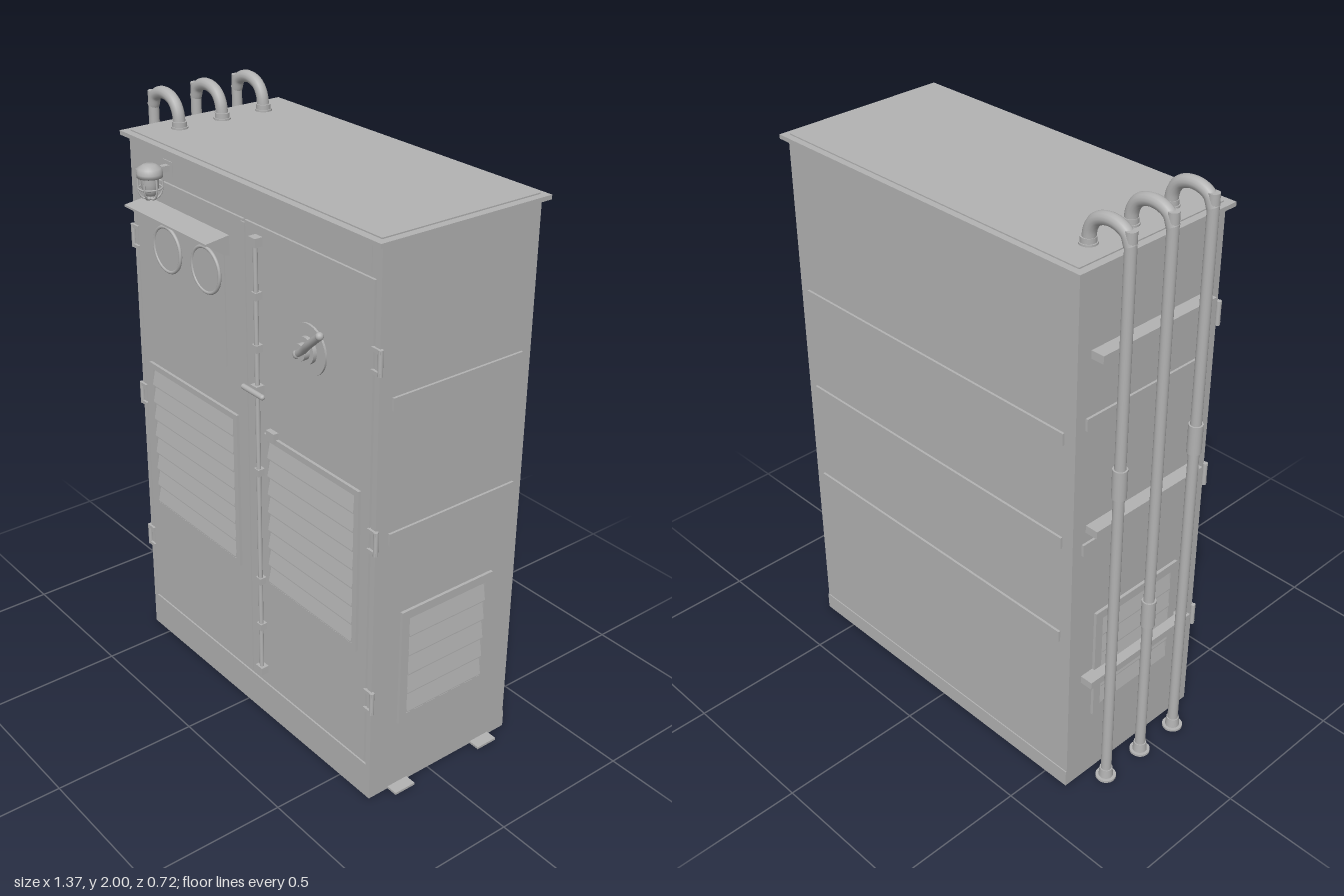
import * as THREE from 'three';

const steel = new THREE.MeshStandardMaterial({ color: 0xb2b2b2 });
steel.name = 'grey paint';

function add(parent, name, geo, x = 0, y = 0, z = 0) {
  const m = new THREE.Mesh(geo, steel);
  m.name = name;
  m.position.set(x, y, z);
  parent.add(m);
  return m;
}

// Box given by its limits on each axis
function box(parent, name, x0, x1, y0, y1, z0, z1) {
  return add(parent, name, new THREE.BoxGeometry(x1 - x0, y1 - y0, z1 - z0),
    (x0 + x1) / 2, (y0 + y1) / 2, (z0 + z1) / 2);
}

// Upright cylinder from y0 to y1
function rod(parent, name, r, x, y0, y1, z, rTop = r, sides = 20) {
  return add(parent, name, new THREE.CylinderGeometry(rTop, r, y1 - y0, sides), x, (y0 + y1) / 2, z);
}

function tube(parent, name, pts, r, segs = 24) {
  const curve = new THREE.CatmullRomCurve3(pts.map(p => new THREE.Vector3(...p)));
  return add(parent, name, new THREE.TubeGeometry(curve, segs, r, 14));
}

// Profile in (z, y) extruded along x and centred on it
function alongX(points, width) {
  const shape = new THREE.Shape(points.map(p => new THREE.Vector2(...p)));
  const geo = new THREE.ExtrudeGeometry(shape, { depth: width, bevelEnabled: false });
  return geo.rotateY(-Math.PI / 2).translate(width / 2, 0, 0);
}

// Framed louvre facing +z, centred on its own origin
function louvre(parent, name, w, h, border, count, x, y, z, turn = 0) {
  const g = new THREE.Group();
  g.name = name;
  const frame = new THREE.Shape([[-w / 2, -h / 2], [w / 2, -h / 2], [w / 2, h / 2], [-w / 2, h / 2]]
    .map(p => new THREE.Vector2(...p)));
  const a = w / 2 - border, b = h / 2 - border;
  frame.holes.push(new THREE.Path([[-a, -b], [-a, b], [a, b], [a, -b]].map(p => new THREE.Vector2(...p))));
  add(g, 'louvreFrame', new THREE.ExtrudeGeometry(frame, { depth: 0.01, bevelEnabled: false }));
  const pitch = 2 * b / count;
  const slat = alongX([[0, 0], [0.013, 0.004], [0.013, 0.008], [0.001, pitch], [0, pitch]], 2 * a);
  for (let i = 0; i < count; i++) add(g, 'slat', slat, 0, -b + i * pitch, 0);
  g.position.set(x, y, z);
  g.rotation.y = turn;
  parent.add(g);
}

export function createModel() {
  const model = new THREE.Group();
  model.name = 'electricalCabinet';
  const L = -0.592, R = 0.645, F = 0.242, B = -0.338;

  // Shell, roof and front frame
  box(model, 'body', L, R, 0, 1.87, B, F);
  box(model, 'roof', -0.61, 0.665, 1.868, 1.882, -0.357, 0.272);
  box(model, 'roofPanel', -0.585, 0.64, 1.88, 1.886, -0.335, 0.247);
  box(model, 'plinthFace', L, R, 0, 0.125, F, 0.248);
  box(model, 'headerFace', L, R, 1.77, 1.87, F, 0.248);
  box(model, 'leftStile', L, -0.572, 0.125, 1.77, F, 0.248);
  box(model, 'rightStile', 0.625, R, 0.125, 1.77, F, 0.248);
  box(model, 'headerPanel', -0.56, 0.605, 1.782, 1.862, 0.248, 0.251);
  box(model, 'backSill', L, R, 0, 0.06, B - 0.004, B);

  // Double doors
  box(model, 'door', -0.565, 0.022, 0.135, 1.762, F, 0.25);
  box(model, 'door', 0.03, 0.618, 0.135, 1.762, F, 0.25);
  box(model, 'doorOverlap', 0.016, 0.034, 0.14, 1.755, 0.25, 0.254);
  louvre(model, 'doorVent', 0.505, 0.56, 0.02, 8, -0.272, 0.82, 0.25);
  louvre(model, 'doorVent', 0.455, 0.56, 0.02, 8, 0.352, 0.82, 0.25);
  box(model, 'ventCatch', 0.146, 0.186, 1.09, 1.122, 0.25, 0.268);

  // Side vents, side ribs and back ribs
  louvre(model, 'sideVent', 0.375, 0.42, 0.03, 5, R, 0.46, -0.047, Math.PI / 2);
  louvre(model, 'sideVent', 0.375, 0.42, 0.03, 5, L, 0.46, -0.047, -Math.PI / 2);
  for (const y of [0.95, 1.39]) {
    box(model, 'sideRib', R, R + 0.008, y - 0.02, y + 0.02, -0.3, 0.2);
    box(model, 'sideRib', L - 0.008, L, y - 0.02, y + 0.02, -0.3, 0.2);
  }
  for (const y of [0.615, 0.975, 1.34])
    box(model, 'backRib', -0.55, 0.605, y - 0.02, y + 0.02, B - 0.008, B);
  for (const z of [-0.23, 0.13])
    box(model, 'floorTab', 0.6, 0.685, 0, 0.008, z - 0.04, z + 0.04);

  // Hinges
  for (const y of [0.38, 0.955, 1.53]) {
    for (const [edge, s] of [[R, 1], [L, -1]]) {
      const hinge = new THREE.Group();
      hinge.name = 'hinge';
      rod(hinge, 'hingePin', 0.008, edge + s * 0.004, y - 0.04, y + 0.04, 0.25, 0.008, 12);
      for (const dy of [-0.034, 0.034]) {
        const x0 = edge - s * 0.03, x1 = edge + s * 0.01;
        box(hinge, 'hingeLeaf', Math.min(x0, x1), Math.max(x0, x1), y + dy - 0.006, y + dy + 0.006, 0.246, 0.256);
      }
      model.add(hinge);
    }
  }

  // Instrument panel with sun hood and two gauges
  box(model, 'instrumentPanel', -0.48, -0.075, 1.25, 1.68, 0.25, 0.254);
  const hood = new THREE.Group();
  hood.name = 'hood';
  add(hood, 'hoodTop', alongX([[0.25, 1.682], [0.335, 1.672], [0.335, 1.679], [0.25, 1.69]], 0.45), -0.275);
  for (const x of [-0.497, -0.053])
    add(hood, 'hoodCheek', alongX([[0.25, 1.625], [0.268, 1.63], [0.333, 1.674], [0.25, 1.685]], 0.006), x);
  model.add(hood);
  for (const x of [-0.382, -0.168]) {
    const gauge = new THREE.Group();
    gauge.name = 'gauge';
    add(gauge, 'gaugeFace', new THREE.CylinderGeometry(0.074, 0.074, 0.008, 40), x, 1.545, 0.256).rotation.x = Math.PI / 2;
    add(gauge, 'gaugeRing', new THREE.TorusGeometry(0.074, 0.006, 10, 40), x, 1.545, 0.258);
    model.add(gauge);
  }

  // Caged lamp
  const lamp = new THREE.Group();
  lamp.name = 'lamp';
  const cap = [[0, 0.04], [0.02, 0.038], [0.037, 0.028], [0.041, 0.012], [0.041, 0], [0, 0]]
    .reverse().map(p => new THREE.Vector2(...p));
  add(lamp, 'lampCap', new THREE.LatheGeometry(cap, 28), 0, 1.803, 0);
  const glass = [[0, -0.064], [0.014, -0.06], [0.025, -0.045], [0.028, -0.02], [0.028, 0]]
    .map(p => new THREE.Vector2(...p));
  add(lamp, 'lampGlass', new THREE.LatheGeometry(glass, 24), 0, 1.803, 0);
  for (let i = 0; i < 3; i++) {
    const a = i * Math.PI / 3, c = Math.cos(a), s = Math.sin(a);
    const wire = [[0.037, 1.806], [0.037, 1.76], [0.025, 1.738], [0, 1.732], [-0.025, 1.738], [-0.037, 1.76], [-0.037, 1.806]];
    tube(lamp, 'cageWire', wire.map(([r, y]) => [r * c, y, r * s]), 0.003);
  }
  add(lamp, 'cageRing', new THREE.TorusGeometry(0.037, 0.003, 8, 28), 0, 1.768, 0).rotation.x = Math.PI / 2;
  box(lamp, 'lampArm', -0.01, 0.01, 1.808, 1.828, -0.075, -0.02);
  box(lamp, 'lampMount', -0.025, 0.025, 1.795, 1.84, -0.075, -0.066);
  lamp.position.set(-0.366, 0, 0.32);
  model.add(lamp);

  // Locking rod with guides and a cross handle
  const lock = new THREE.Group();
  lock.name = 'lockingRod';
  rod(lock, 'rod', 0.0075, 0.102, 0.19, 1.73, 0.265);
  for (const y of [0.195, 1.72]) box(lock, 'rodKeeper', 0.085, 0.119, y - 0.014, y + 0.014, 0.25, 0.278);
  for (const y of [0.37, 0.55, 0.955, 1.38, 1.55]) box(lock, 'rodGuide', 0.09, 0.114, y - 0.012, y + 0.012, 0.25, 0.275);
  box(lock, 'handleBoss', 0.086, 0.118, 1.222, 1.258, 0.25, 0.28);
  add(lock, 'crossHandle', new THREE.CapsuleGeometry(0.009, 0.095, 6, 14), 0.103, 1.24, 0.283).rotation.z = Math.PI / 2;
  model.add(lock);

  // Rotary switch
  const rotary = new THREE.Group();
  rotary.name = 'rotarySwitch';
  for (const [r, z0, z1] of [[0.08, 0.25, 0.257], [0.042, 0.257, 0.27], [0.026, 0.27, 0.29]])
    add(rotary, 'switchDisc', new THREE.CylinderGeometry(r, r, z1 - z0, 36), 0.34, 1.46, (z0 + z1) / 2).rotation.x = Math.PI / 2;
  tube(rotary, 'switchLever', [[0.325, 1.448, 0.283], [0.36, 1.475, 0.29], [0.405, 1.512, 0.305], [0.47, 1.565, 0.318]], 0.012);
  add(rotary, 'leverTip', new THREE.SphereGeometry(0.0125, 14, 10), 0.47, 1.565, 0.318);
  add(rotary, 'leverRoot', new THREE.SphereGeometry(0.015, 14, 10), 0.325, 1.448, 0.283);
  model.add(rotary);

  // Conduits on the side, hooked over into the roof
  [-0.215, -0.05, 0.115].forEach((z, i) => {
    const pipe = new THREE.Group();
    pipe.name = 'conduit';
    const x = -0.652, sleeve = i === 1 ? 0.55 : 1.13;
    rod(pipe, 'riser', 0.0175, x, 0, 1.975, z);
    tube(pipe, 'bend', [[x, 1.93, z], [-0.638, 1.962, z], [-0.605, 1.979, z], [-0.565, 1.98, z],
      [-0.53, 1.965, z], [-0.51, 1.935, z], [-0.503, 1.885, z]], 0.02, 30);
    rod(pipe, 'roofFlange', 0.028, -0.503, 1.882, 1.892, z);
    rod(pipe, 'roofCollar', 0.024, -0.503, 1.892, 1.908, z);
    rod(pipe, 'floorFlange', 0.034, x, 0, 0.008, z);
    rod(pipe, 'floorCollar', 0.024, x, 0.008, 0.04, z, 0.021);
    rod(pipe, 'sleeve', 0.023, x, sleeve, sleeve + 0.1, z);
    model.add(pipe);
  });
  for (const y of [0.43, 1.02, 1.61])
    box(model, 'conduitRail', -0.637, L, y - 0.013, y + 0.013, -0.285, 0.183);

  return model;
}
